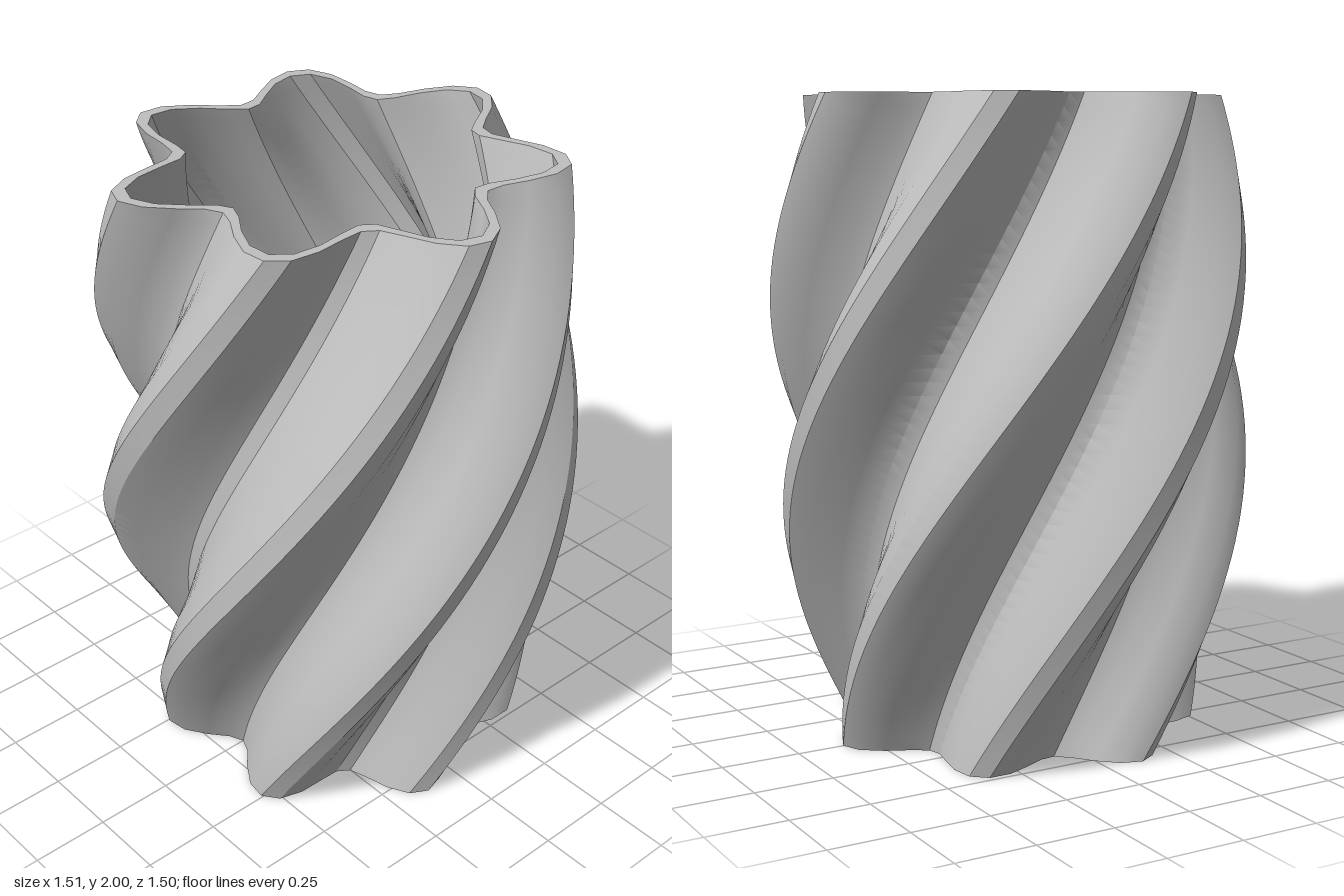
import * as THREE from 'three';
import { toCreasedNormals } from 'three/addons/utils/BufferGeometryUtils.js';

const SIDES = 60, STEPS = 48, LOBES = 7;
const HEIGHT = 2, FLOOR = 0.06, WALL = 0.04;
const TWIST = THREE.MathUtils.degToRad(110);

// One lobed cross-section, scaled and twisted by its height
function ring(y, inset = 0) {
  const t = y / HEIGHT;
  const tip = 0.6 + 0.08 * t + 0.12 * Math.sin(Math.PI * t);
  return Array.from({ length: SIDES }, (_, j) => {
    const u = (j / SIDES) * Math.PI * 2;
    const r = tip * (0.853 + 0.147 * Math.cos(LOBES * u)) - inset;
    const a = u + TWIST * t;
    return [r * Math.cos(a), y, -r * Math.sin(a)];
  });
}

// Ring shrunk to a point, for flat caps
const centre = (y) => Array.from({ length: SIDES }, () => [0, y, 0]);

// Stack of rings from one height to another
function wall(from, to, inset) {
  return Array.from({ length: STEPS + 1 }, (_, i) => ring(from + ((to - from) * i) / STEPS, inset));
}

// Skin between successive rings, skipping collapsed triangles
function skin(rings) {
  const pos = [];
  const tri = (a, b, c) => {
    const same = (p, q) => p.every((v, k) => v === q[k]);
    if (!same(a, b) && !same(b, c) && !same(a, c)) pos.push(...a, ...b, ...c);
  };
  for (let i = 0; i < rings.length - 1; i++) {
    for (let j = 0; j < SIDES; j++) {
      const k = (j + 1) % SIDES;
      const [lo, hi] = [rings[i], rings[i + 1]];
      tri(lo[j], lo[k], hi[j]);
      tri(lo[k], hi[k], hi[j]);
    }
  }
  const geo = new THREE.BufferGeometry();
  geo.setAttribute('position', new THREE.Float32BufferAttribute(pos, 3));
  return toCreasedNormals(geo, 0.55);
}

export function createModel() {
  const group = new THREE.Group();
  group.name = 'twistedVase';
  const grey = new THREE.MeshStandardMaterial({ color: 0xbfbfbf });
  grey.name = 'grey';

  const parts = {
    base: [centre(0), ring(0)],
    outerWall: wall(0, HEIGHT, 0),
    rim: [ring(HEIGHT), ring(HEIGHT, WALL)],
    innerWall: wall(HEIGHT, FLOOR, WALL),
    innerFloor: [ring(FLOOR, WALL), centre(FLOOR)],
  };
  for (const [name, rings] of Object.entries(parts)) {
    const mesh = new THREE.Mesh(skin(rings), grey);
    mesh.name = name;
    group.add(mesh);
  }
  return group;
}
